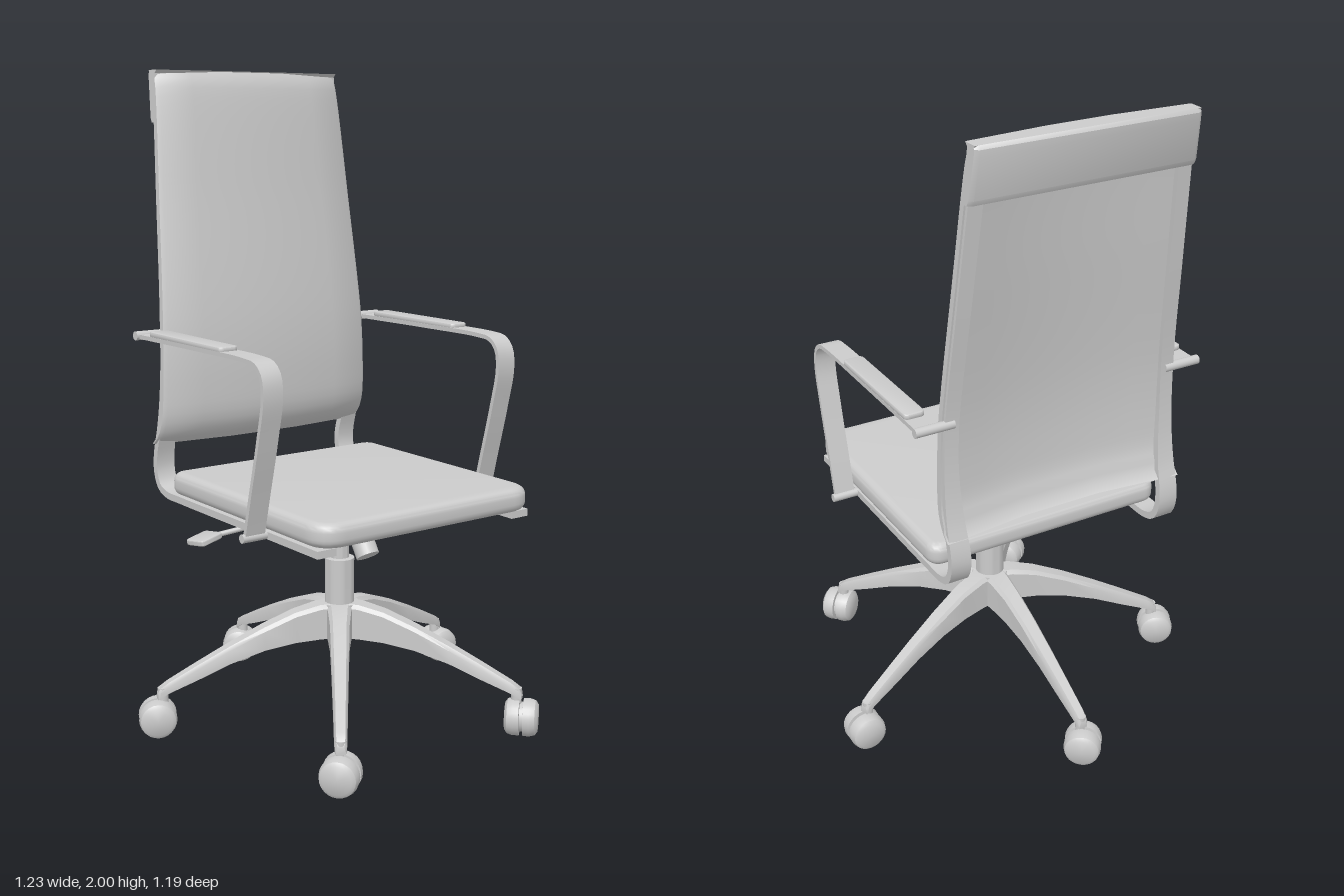
import * as THREE from 'three';
import { toCreasedNormals } from 'three/addons/utils/BufferGeometryUtils.js';

const V = (x, y, z) => new THREE.Vector3(x, y, z);
const material = new THREE.MeshStandardMaterial({ color: 0xcccccc, side: THREE.DoubleSide });
const CENTRE_Z = 0.063; // swivel axis

function add(parent, name, geometry, x = 0, y = 0, z = 0) {
  const mesh = new THREE.Mesh(geometry, material);
  mesh.name = name;
  mesh.position.set(x, y, z);
  parent.add(mesh);
  return mesh;
}

// Capped solid through closed rings of equal length; faces are turned outward by signed volume
function loft(rings, crease = 0.6) {
  const n = rings[0].length, p = rings.flat(), index = [];
  for (let i = 0; i < rings.length - 1; i++) {
    for (let j = 0; j < n; j++) {
      const a = i * n + j, b = i * n + (j + 1) % n;
      index.push(a, b, b + n, a, b + n, a + n);
    }
  }
  const last = (rings.length - 1) * n;
  for (let j = 1; j < n - 1; j++) index.push(0, j + 1, j, last, last + j, last + j + 1);
  let volume = 0;
  for (let i = 0; i < index.length; i += 3) {
    volume += p[index[i]].dot(p[index[i + 1]].clone().cross(p[index[i + 2]]));
  }
  if (volume < 0) index.reverse();
  const g = new THREE.BufferGeometry().setFromPoints(p);
  g.setIndex(index);
  return toCreasedNormals(g, crease);
}

// Flat band following [z, y] points, between two x positions that may depend on y
function ribbon(points, xIn, xOut, thickness, side, steps = 60) {
  const curve = new THREE.CatmullRomCurve3(points.map(([z, y]) => V(0, y, z)), false, 'centripetal');
  const rings = [];
  for (let i = 0; i <= steps; i++) {
    const c = curve.getPointAt(i / steps), t = curve.getTangentAt(i / steps);
    const ny = t.z * thickness / 2, nz = -t.y * thickness / 2;
    const a = side * xIn(c.y), b = side * xOut(c.y);
    rings.push([V(a, c.y + ny, c.z + nz), V(b, c.y + ny, c.z + nz),
      V(b, c.y - ny, c.z - nz), V(a, c.y - ny, c.z - nz)]);
  }
  return loft(rings);
}

function rod(parent, name, from, to, r0, r1 = r0, sides = 24) {
  const d = to.clone().sub(from);
  const mesh = add(parent, name, new THREE.CylinderGeometry(r1, r0, d.length(), sides));
  mesh.position.copy(from).addScaledVector(d, 0.5);
  mesh.quaternion.setFromUnitVectors(V(0, 1, 0), d.normalize());
  return mesh;
}

// Horizontal slab with rounded corners and bevelled rims
function slab(x, z0, z1, y0, y1, rFront, rBack, bevel) {
  const a = x - bevel, f = -z1 + bevel, b = -z0 - bevel;
  const s = new THREE.Shape();
  s.moveTo(-a + rFront, f).lineTo(a - rFront, f).quadraticCurveTo(a, f, a, f + rFront);
  s.lineTo(a, b - rBack).quadraticCurveTo(a, b, a - rBack, b);
  s.lineTo(-a + rBack, b).quadraticCurveTo(-a, b, -a, b - rBack);
  s.lineTo(-a, f + rFront).quadraticCurveTo(-a, f, -a + rFront, f);
  const g = new THREE.ExtrudeGeometry(s, { depth: y1 - y0 - 2 * bevel, bevelEnabled: true,
    bevelSize: bevel, bevelThickness: bevel, bevelSegments: 5, curveSegments: 8 });
  g.rotateX(-Math.PI / 2).translate(0, y0 + bevel, 0);
  return toCreasedNormals(g, 0.6);
}

// Half width of the backrest at a height
const halfWidth = (y) => y < 1.2
  ? 0.395 - 0.01 * Math.max(0, (y - 0.85) / 0.35)
  : 0.385 - 0.045 * (y - 1.2) / 0.8;

function buildBack(parent) {
  // Upholstered panel: bulges forward in the middle, curls back at the bottom
  const profile = new THREE.CatmullRomCurve3([[-0.355, 0.84], [-0.325, 0.87], [-0.303, 0.92], [-0.295, 1.02],
    [-0.299, 1.2], [-0.345, 1.6], [-0.393, 1.96], [-0.405, 1.99], [-0.415, 2]].map(([z, y]) => V(0, y, z)));
  const across = [-1, -0.97, -0.65, -0.32, 0, 0.32, 0.65, 0.97, 1];
  const rings = [];
  for (let i = 0; i <= 40; i++) {
    const c = profile.getPointAt(i / 40), w = halfWidth(c.y);
    const drop = (u) => 0.03 * Math.max(0, (Math.abs(u) - 0.32) / 0.68);
    const thick = c.y < 0.87 ? 0.015 : 0.028;
    const front = across.map((u) => V(u * w, c.y, c.z - drop(u) - (Math.abs(u) === 1 ? 0.008 : 0)));
    const back = across.map((u) => V(u * w, c.y, c.z - drop(u) - thick)).reverse();
    rings.push([...front, ...back]);
  }
  add(parent, 'backrestPanel', loft(rings, 0.7));

  // Head band behind the top of the panel
  const band = [[1.84, -0.405, -0.452], [1.855, -0.405, -0.46], [1.97, -0.42, -0.478],
    [1.99, -0.42, -0.48], [2, -0.41, -0.472]];
  add(parent, 'headBand', loft(band.map(([y, f, b]) => {
    const w = halfWidth(y);
    return [V(-w, y, f - 0.015), V(-0.3 * w, y, f), V(0.3 * w, y, f), V(w, y, f - 0.015),
      V(w, y, b + 0.008), V(w - 0.012, y, b), V(-w + 0.012, y, b), V(-w, y, b + 0.008)];
  })));
}

function buildSide(parent, s) {
  // Continuous rail: under the seat, round the rear bend and up the backrest
  add(parent, 'sideRail', ribbon([[0.49, 0.685], [0.1, 0.685], [-0.25, 0.685], [-0.33, 0.687], [-0.375, 0.705],
    [-0.396, 0.75], [-0.395, 0.8], [-0.372, 0.89], [-0.357, 1], [-0.355, 1.2], [-0.395, 1.55], [-0.438, 1.9]],
  (y) => halfWidth(y) - 0.07 + 0.02 * THREE.MathUtils.smoothstep(y, 0.75, 1.1),
  (y) => halfWidth(y) - 0.006, 0.022, s, 100));

  // Armrest loop with pad and mounting rods
  add(parent, 'armLoop', ribbon([[0.235, 0.68], [0.262, 0.79], [0.31, 0.98], [0.334, 1.1], [0.325, 1.16],
    [0.295, 1.188], [0.24, 1.195], [0, 1.196], [-0.36, 1.193]], () => 0.397, () => 0.462, 0.013, s));
  add(parent, 'armPad', slab(0.032, -0.29, 0.12, 1.198, 1.216, 0.01, 0.01, 0.005), s * 0.43);
  rod(parent, 'armRearRod', V(s * 0.35, 1.195, -0.36), V(s * 0.47, 1.195, -0.36), 0.014);
  rod(parent, 'armFrontRod', V(s * 0.33, 0.686, 0.235), V(s * 0.47, 0.686, 0.235), 0.013);
}

function buildLeg(parent, angle, wheelTurn) {
  const leg = new THREE.Group();
  leg.name = 'baseLeg';
  leg.position.z = CENTRE_Z;
  leg.rotation.y = angle;
  parent.add(leg);
  // Arched tapering spoke: distance, top, bottom, half width
  const stations = [[0, 0.37, 0.26, 0.045], [0.07, 0.368, 0.26, 0.036], [0.15, 0.35, 0.255, 0.03],
    [0.25, 0.312, 0.24, 0.027], [0.36, 0.262, 0.208, 0.024], [0.46, 0.213, 0.168, 0.021],
    [0.55, 0.167, 0.135, 0.019], [0.576, 0.15, 0.12, 0.017], [0.583, 0.135, 0.115, 0.014]];
  add(leg, 'spoke', loft(stations.map(([r, t, b, w]) => [V(-w, b, r), V(w, b, r),
    V(w, t - 0.012, r), V(w * 0.7, t, r), V(-w * 0.7, t, r), V(-w, t - 0.012, r)])));
  rod(leg, 'casterPin', V(0, 0.06, 0.566), V(0, 0.15, 0.566), 0.016);
  // Barrel caster with a groove between its two wheels
  const half = [[0.005, 0.045], [0.006, 0.057], [0.025, 0.058], [0.042, 0.053], [0.05, 0.042], [0.052, 0]];
  const profile = [...half.map(([x, r]) => new THREE.Vector2(r, -x)).reverse(),
    ...half.map(([x, r]) => new THREE.Vector2(r, x))];
  const wheel = add(leg, 'caster', toCreasedNormals(new THREE.LatheGeometry(profile, 24), 0.6), 0, 0.058, 0.583);
  wheel.rotation.set(0, wheelTurn - angle, Math.PI / 2);
}

export function createModel() {
  const chair = new THREE.Group();
  chair.name = 'officeChair';

  // Seat
  add(chair, 'seatCushion', slab(0.395, -0.3, 0.518, 0.698, 0.77, 0.06, 0.02, 0.026));
  add(chair, 'underPlate', slab(0.27, -0.2, 0.34, 0.683, 0.705, 0.01, 0.01, 0.003));

  buildBack(chair);
  for (const s of [1, -1]) buildSide(chair, s);

  // Gas lift, with a flared mount under the seat
  const lift = [[0, 0.27], [0.046, 0.27], [0.046, 0.51], [0.03, 0.512], [0.03, 0.645],
    [0.045, 0.66], [0.09, 0.68], [0.09, 0.69], [0, 0.69]].map(([r, y]) => new THREE.Vector2(r, y));
  add(chair, 'gasLift', toCreasedNormals(new THREE.LatheGeometry(lift, 32), 0.6), 0, 0, CENTRE_Z);

  // Tension knob and height lever
  rod(chair, 'knobStem', V(0, 0.68, 0.115), V(0, 0.62, 0.16), 0.022);
  rod(chair, 'tensionKnob', V(0, 0.637, 0.15), V(0, 0.548, 0.208), 0.036);
  rod(chair, 'leverRod', V(0, 0.668, 0.03), V(-0.38, 0.61, -0.07), 0.008);
  const paddle = add(chair, 'leverPaddle', slab(0.045, -0.038, 0.038, -0.009, 0.009, 0.01, 0.01, 0.005),
    -0.405, 0.605, -0.075);
  paddle.rotation.set(-0.1, 0.25, 0.15);

  // Five-spoke base
  add(chair, 'baseHub', new THREE.CylinderGeometry(0.06, 0.065, 0.105, 20), 0, 0.315, CENTRE_Z);
  const turns = [0.9, 1.1, 0.7, 2.3, Math.PI / 2];
  turns.forEach((turn, i) => buildLeg(chair, Math.PI + i * Math.PI * 0.4, turn));
  return chair;
}
